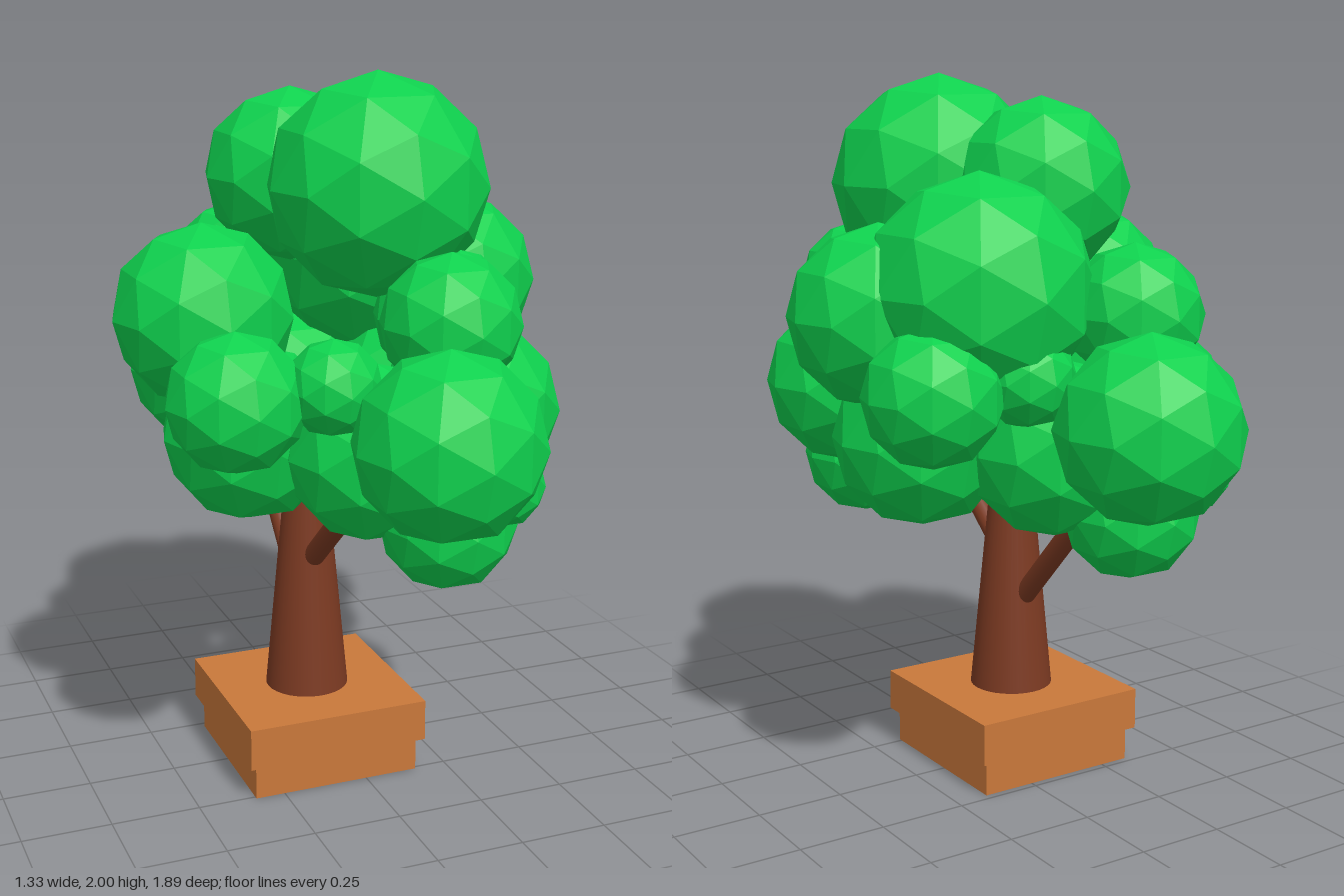
import * as THREE from 'three';

const mat = (name, color, flatShading = false) => {
  const m = new THREE.MeshStandardMaterial({ color, flatShading });
  m.name = name;
  return m;
};

export function createModel() {
  const leaf = mat('leaf green', 0x0fd14e, true);
  const bark = mat('bark brown', 0x7c3a22);
  const clay = mat('planter orange', 0xc9783b);
  const tree = new THREE.Group();
  tree.name = 'pottedTree';
  const TX = -0.09, TZ = 0.015;

  const add = (name, geometry, material, x, y, z, parent = tree) => {
    const mesh = new THREE.Mesh(geometry, material);
    mesh.name = name;
    mesh.position.set(x, y, z);
    parent.add(mesh);
    return mesh;
  };

  // Square planter with a wider rim
  add('planterBase', new THREE.BoxGeometry(0.49, 0.1, 0.49), clay, TX, 0.05, TZ);
  add('planterRim', new THREE.BoxGeometry(0.53, 0.12, 0.53), clay, TX, 0.16, TZ);

  // Tapered trunk
  add('trunk', new THREE.CylinderGeometry(0.045, 0.12, 0.8, 32), bark, TX, 0.62, TZ);

  // Two straight branches, one forward and one backward
  const branch = (name, y0, z0, y1, z1) => {
    const a = new THREE.Vector3(TX, y0, z0), b = new THREE.Vector3(TX, y1, z1);
    const dir = b.clone().sub(a);
    const mid = a.clone().add(b).multiplyScalar(0.5);
    const mesh = add(name, new THREE.CylinderGeometry(0.031, 0.031, dir.length(), 20), bark, mid.x, mid.y, mid.z);
    mesh.quaternion.setFromUnitVectors(new THREE.Vector3(0, 1, 0), dir.normalize());
  };
  branch('frontBranch', 0.61, 0.05, 0.92, 0.42);
  branch('backBranch', 0.49, -0.04, 0.91, -0.44);

  // Foliage balls
  const ball = new THREE.IcosahedronGeometry(1, 1);
  const puff = (name, [x, y, z, r], parent) => add(name, ball, leaf, x, y, z, parent).scale.setScalar(r);

  // Crown: three large single balls
  [
    [0.066, 1.695, 0.155, 0.305],
    [0.225, 1.445, -0.305, 0.31],
    [-0.07, 1.695, -0.155, 0.245],
  ].forEach((p) => puff('crownBall', p));

  // Cluster repeated with a half turn about the vertical axis
  const cluster = [
    [0.035, 1.117, 0.697, 0.25],
    [0.12, 1.385, 0.515, 0.186],
    [0.12, 0.855, 0.515, 0.186],
    [0.215, 0.98, 0.637, 0.113],
    [-0.185, 1.235, 0.472, 0.128],
    [0.24, 1.42, 0.315, 0.115],
    [0.275, 1.315, 0.11, 0.186],
    [0.252, 1.115, 0.365, 0.243],
    [0.1, 0.875, 0.3, 0.113],
    [0.2, 0.935, 0.13, 0.125],
    [-0.29, 1.035, 0.12, 0.246],
    [-0.03, 1.02, 0.375, 0.243],
    [-0.42, 1.373, 0.122, 0.246],
    [-0.423, 1.2, 0.4, 0.186],
  ];
  ['frontFoliage', 'backFoliage'].forEach((name, i) => {
    const g = new THREE.Group();
    g.name = name;
    g.rotation.y = i * Math.PI;
    cluster.forEach((p) => puff('leafBall', p, g));
    tree.add(g);
  });
  return tree;
}
